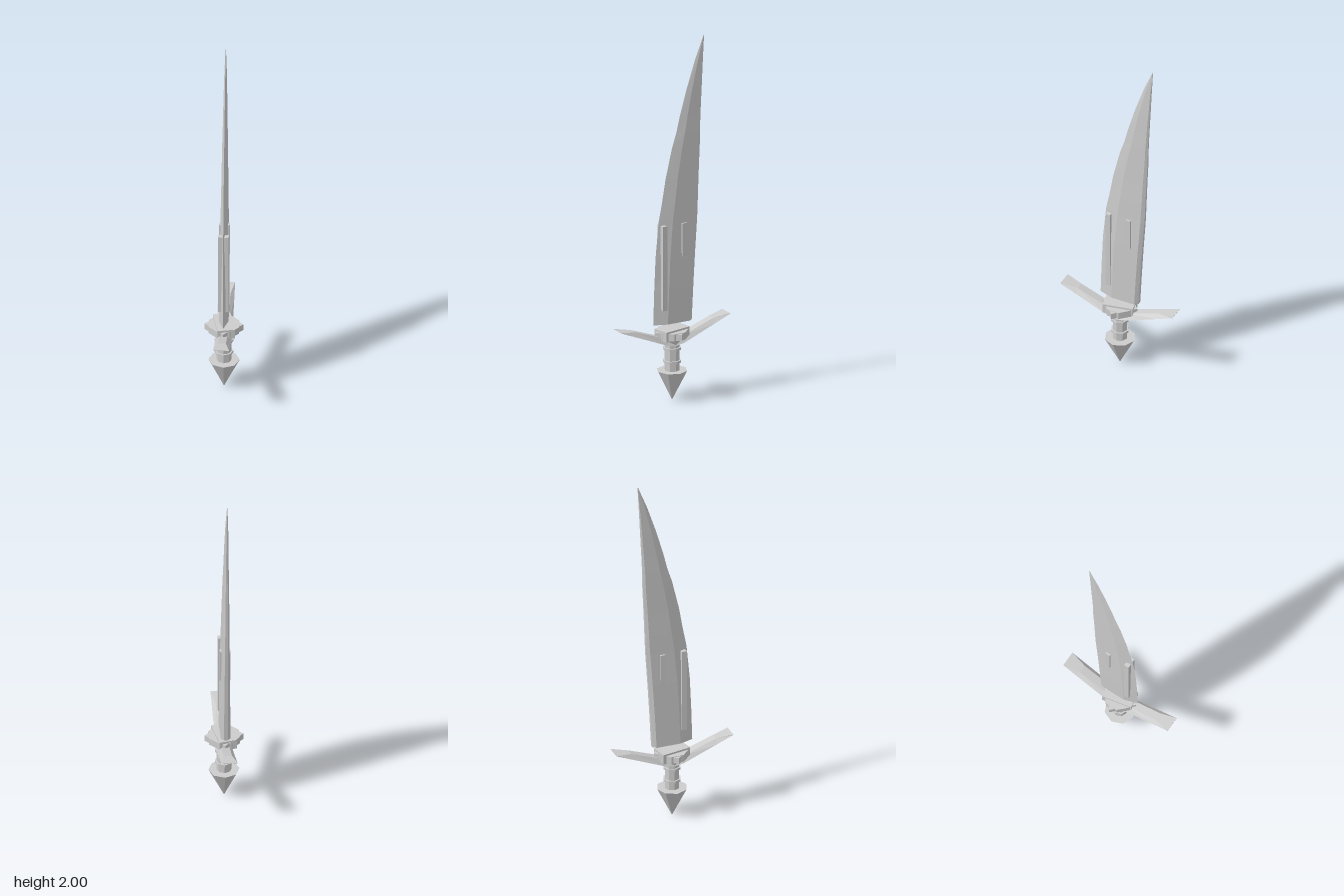
import * as THREE from 'three';

// Skin closed rings (counter-clockwise seen from the last ring) and cap both ends
function loft(rings) {
  const n = rings[0].length, pos = [];
  const tri = (a, b, c) => pos.push(...a, ...b, ...c);
  for (let i = 0; i < rings.length - 1; i++) {
    for (let k = 0; k < n; k++) {
      const j = (k + 1) % n, lo = rings[i], hi = rings[i + 1];
      tri(lo[k], lo[j], hi[j]);
      tri(lo[k], hi[j], hi[k]);
    }
  }
  const first = rings[0], last = rings[rings.length - 1];
  for (let k = 1; k < n - 1; k++) {
    tri(last[0], last[k], last[k + 1]);
    tri(first[0], first[k + 1], first[k]);
  }
  const g = new THREE.BufferGeometry();
  g.setAttribute('position', new THREE.Float32BufferAttribute(pos, 3));
  g.computeVertexNormals();
  return g;
}

export function createModel() {
  const model = new THREE.Group();
  model.name = 'dagger';
  const steel = new THREE.MeshStandardMaterial({ color: 0xcccccc, flatShading: true });
  steel.name = 'steel grey';

  const add = (name, geometry, x = 0, y = 0, z = 0, turn = 0) => {
    const mesh = new THREE.Mesh(geometry, steel);
    mesh.name = name;
    mesh.position.set(x, y, z);
    mesh.rotation.y = turn;
    model.add(mesh);
    return mesh;
  };

  // Blade: height, cutting edge z, spine z, half thickness
  const stations = [
    [0.43, 0.115, -0.115, 0.025], [0.62, 0.109, -0.125, 0.024],
    [0.80, 0.101, -0.136, 0.022], [1.00, 0.082, -0.150, 0.019],
    [1.10, 0.062, -0.154, 0.018], [1.23, 0.040, -0.159, 0.016],
    [1.40, 0.000, -0.167, 0.014], [1.48, -0.026, -0.168, 0.013],
    [1.57, -0.048, -0.172, 0.011], [1.72, -0.091, -0.180, 0.009],
    [1.87, -0.141, -0.188, 0.006], [2.00, -0.193, -0.196, 0.001],
  ];
  add('blade', loft(stations.map(([y, edge, spine, w]) => {
    const chord = edge - spine;
    const ridge = edge - chord * 0.33, bevel = spine + chord * 0.08;
    return [
      [0, y, edge], [w, y, ridge], [w, y, bevel], [0.4 * w, y, spine],
      [-0.4 * w, y, spine], [-w, y, bevel], [-w, y, ridge],
    ];
  })));

  // Raised bars running through the blade
  add('frontBar', new THREE.BoxGeometry(0.056, 0.47, 0.028), 0, 0.745, 0.059);
  add('backBar', new THREE.BoxGeometry(0.056, 0.185, 0.028), 0, 0.8875, -0.061);

  // Guard arms: inner end, shoulder and pointed tip
  const section = (z, bottom, top, topHalf) => [
    [-0.043, bottom, z], [0.043, bottom, z], [topHalf, top, z], [-topHalf, top, z],
  ];
  const arm = loft([
    section(0, 0.31, 0.34, 0.022),
    section(0.05, 0.318, 0.352, 0.022),
    section(0.24, 0.396, 0.42, 0.022),
    section(0.332, 0.434, 0.436, 0.043),
  ]);
  add('frontGuardArm', arm);
  add('backGuardArm', arm, 0, 0, 0, Math.PI);

  // Hub: turned block, diamond plate and faceted core
  add('hubBlock', new THREE.BoxGeometry(0.095, 0.055, 0.166), 0, 0.3725, 0, 0.2);
  add('hubDiamond', new THREE.CylinderGeometry(0.103, 0.103, 0.035, 4), 0, 0.37, 0);
  add('hubCore', new THREE.CylinderGeometry(0.088, 0.088, 0.04, 8), 0, 0.37, 0, Math.PI / 8);

  // Grip with collar and rings
  add('grip', new THREE.CylinderGeometry(0.04, 0.04, 0.19, 8), 0, 0.245, 0);
  add('collar', new THREE.CylinderGeometry(0.055, 0.04, 0.045, 8), 0, 0.333, 0);
  for (const y of [0.215, 0.287]) {
    add('gripRing', new THREE.CylinderGeometry(0.049, 0.049, 0.013, 8), 0, y, 0);
  }

  // Spiked pommel
  add('pommel', new THREE.CylinderGeometry(0.083, 0.001, 0.165, 8), 0, 0.0825, 0);
  return model;
}
